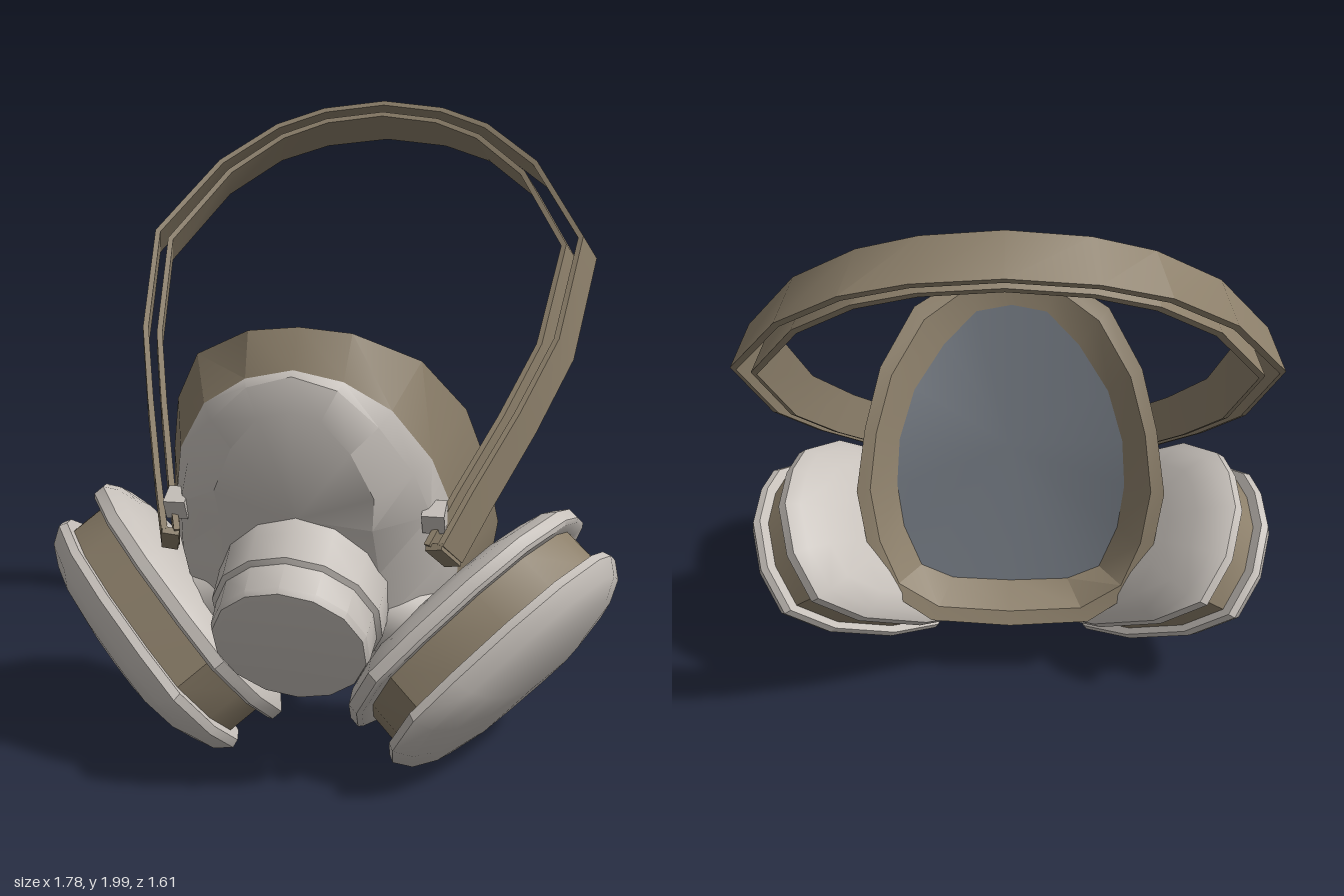
import * as THREE from 'three';
import { toCreasedNormals } from 'three/addons/utils/BufferGeometryUtils.js';

const V = (x, y, z) => new THREE.Vector3(x, y, z);

const shell = new THREE.MeshStandardMaterial({ color: 0xc6c0ba });
shell.name = 'warm light grey';
const rubber = new THREE.MeshStandardMaterial({ color: 0x8c7f6a });
rubber.name = 'khaki brown';
const lining = new THREE.MeshStandardMaterial({ color: 0x6a7078 });
lining.name = 'slate lining';

// Skin between closed rings; rings run clockwise as seen from the far end
function loft(rings, crease = 0.6) {
  const n = rings[0].length, pos = [], idx = [];
  rings.forEach(r => r.forEach(p => pos.push(p.x, p.y, p.z)));
  for (let i = 0; i < rings.length - 1; i++) {
    for (let j = 0; j < n; j++) {
      const a = i * n + j, b = i * n + (j + 1) % n, d = a + n, c = b + n;
      idx.push(a, d, c, a, c, b);
    }
  }
  const g = new THREE.BufferGeometry();
  g.setAttribute('position', new THREE.Float32BufferAttribute(pos, 3));
  g.setIndex(idx);
  return toCreasedNormals(g, crease);
}

// Full ring from a half profile running top to bottom on the +x side
function mirrorRing(half) {
  const right = half.map(p => V(...p));
  const left = right.slice(1, -1).reverse().map(p => V(-p.x, p.y, p.z));
  return [...right, ...left];
}

function mesh(name, geometry, material, parent) {
  const m = new THREE.Mesh(geometry, material);
  m.name = name;
  parent.add(m);
  return m;
}

// Face seal, cup and lining share these cross-sections
const sealBack = mirrorRing([[0, 1.36, .56], [.15, 1.345, .55], [.33, 1.26, .46], [.44, 1.1, .32], [.49, .92, .22],
  [.52, .72, .14], [.485, .53, .08], [.42, .38, .035], [.27, .27, .02], [0, .25, .02]]);
const sealFront = mirrorRing([[0, 1.25, .63], [.14, 1.22, .62], [.27, 1.14, .59], [.37, .99, .51], [.41, .85, .43],
  [.43, .68, .36], [.41, .5, .3], [.35, .36, .24], [.22, .27, .2], [0, .235, .18]]);
const opening = mirrorRing([[0, 1.25, .5], [.12, 1.23, .49], [.23, 1.13, .44], [.33, 1, .35], [.38, .85, .27],
  [.39, .7, .22], [.37, .55, .19], [.31, .41, .155], [.2, .36, .15], [0, .35, .15]]);
const cupShoulder = mirrorRing([[0, 1.235, .65], [.13, 1.2, .65], [.24, 1.1, .63], [.33, .96, .57], [.37, .83, .52],
  [.39, .67, .45], [.37, .5, .4], [.31, .36, .36], [.2, .27, .35], [0, .235, .35]]);
const cupFront = mirrorRing([[0, 1.14, .68], [.09, 1.12, .68], [.17, 1.03, .67], [.23, .9, .64], [.22, .8, .61],
  [.23, .66, .56], [.23, .5, .52], [.21, .38, .48], [.14, .3, .46], [0, .27, .46]]);

function buildMask(root) {
  const rim = sealBack.map((p, i) => p.clone().lerp(opening[i], .35).add(V(0, .012, -.025)));
  mesh('faceSeal', loft([opening, rim, sealBack, sealFront], 0.4), rubber, root);

  const point = p => sealBack.map(() => p.clone());
  mesh('cup', loft([sealFront, cupShoulder, cupFront, point(V(0, .82, .61))], 0.6), shell, root);

  // Shallow lining closing the inside
  mesh('innerLining', loft([point(V(0, .79, .33)), opening], 1.2), lining, root);

  // Exhalation valve, tilted down
  const profile = [[.26, -.26], [.255, -.2], [.25, -.11], [.235, -.1], [.23, -.02], [.222, 0], [.205, .004], [0, .004]];
  const valve = new THREE.LatheGeometry(profile.map(p => new THREE.Vector2(...p)), 14);
  const m = mesh('exhalationValve', toCreasedNormals(valve, 0.5), shell, root);
  m.rotation.x = Math.PI * 2 / 3;
  m.position.set(0, .475, .70);
}

// Pad outline in the filter's own plane
const padOutline = [[-.008, .366], [.19, .28], [.342, .166], [.43, .013], [.43, -.091], [.39, -.224], [.275, -.35],
  [.12, -.415], [-.063, -.332], [-.283, -.15], [-.438, .036], [-.435, .162], [-.33, .311], [-.169, .404]];

function buildFilter(side) {
  const pad = new THREE.Group();
  pad.name = 'filterPad';
  // Each layer is [height, scale]
  const layers = list => loft(list.map(([h, s]) => padOutline.map(([a, b]) => V(a * s, b * s, h))), 0.7);
  mesh('filterCover', layers([[-.02, .9], [-.02, .98], [.005, 1], [.055, .92], [.09, .77], [.115, .48], [.125, 0]]), shell, pad);
  mesh('filterBand', layers([[-.15, .9], [-.015, .9]]), rubber, pad);
  mesh('filterHousing', layers([[-.25, 0], [-.246, .5], [-.235, .75], [-.21, .93], [-.18, 1.02], [-.145, 1.02], [-.135, .99], [-.135, .89]]), shell, pad);

  const up = V(.635, .771, .057).normalize();
  const out = V(.725, -.615, .31).normalize();
  const front = out.clone().cross(up).normalize();
  up.crossVectors(front, out);
  pad.quaternion.setFromRotationMatrix(new THREE.Matrix4().makeBasis(up, front, out));
  pad.position.set(.565, .347, .30);
  side.add(pad);

  // Port joining the filter to the cup
  const from = V(.42, .43, .34), to = V(.2, .5, .42), dir = from.clone().sub(to);
  const port = mesh('filterPort', toCreasedNormals(new THREE.CylinderGeometry(.15, .12, dir.length(), 12), 0.6), shell, side);
  port.position.copy(from).add(to).multiplyScalar(.5);
  port.quaternion.setFromUnitVectors(V(0, 1, 0), dir.normalize());
}

// Flat webbing swept along a path, its rear edge flared outwards on the sides
function ribbon(path) {
  const rings = path.map((c, i) => {
    const flare = .3 * THREE.MathUtils.clamp(c.x * 2.5, -1, 1);
    const wide = V(flare, -.59, -.81);
    const t = path[Math.min(i + 1, path.length - 1)].clone().sub(path[Math.max(i - 1, 0)]);
    const n = t.cross(wide).normalize();
    return [[1, 1], [1, -1], [-1, -1], [-1, 1]].map(([w, k]) =>
      c.clone().addScaledVector(wide, w * .068).addScaledVector(n, k * .009));
  });
  const cap = i => rings[i].map(() => path[i].clone());
  return loft([cap(0), ...rings, cap(path.length - 1)], 0.35);
}

function buildStraps(root) {
  const half = [[.425, .72, .515], [.49, .845, .38], [.595, 1.03, .14], [.69, 1.225, -.09], [.74, 1.52, -.37],
    [.57, 1.752, -.57], [.39, 1.875, -.675], [.22, 1.93, -.72], [0, 1.954, -.74]].map(p => V(...p));
  const whole = h => [...h, ...h.slice(0, -1).reverse().map(p => V(-p.x, p.y, p.z))];
  const inner = half.map(p => {
    const k = (p.y - .7) / 1.25;
    return V(p.x * .935 - .012 * (1 - k), p.y - .038 * k, p.z + .03 * k);
  });
  mesh('outerStrap', ribbon(whole(half)), rubber, root);
  mesh('innerStrap', ribbon(whole(inner)), rubber, root);
}

function buildClip(side) {
  const tab = mesh('strapClip', new THREE.BoxGeometry(.065, .065, .07), shell, side);
  tab.position.set(.38, .825, .51);
  tab.rotation.x = .5;
  // Folded strap end, leaning with the webbing
  const fold = mesh('strapFold', new THREE.BoxGeometry(.05, .02, .136), rubber, side);
  fold.position.set(.406, .715, .515);
  fold.rotation.set(-.63, -.3, 0);
}

export function createModel() {
  const root = new THREE.Group();
  root.name = 'respirator';
  buildMask(root);
  buildStraps(root);
  for (const s of [1, -1]) {
    const side = new THREE.Group();
    side.name = s > 0 ? 'leftSide' : 'rightSide';
    buildFilter(side);
    buildClip(side);
    side.scale.x = s;
    root.add(side);
  }
  return root;
}
